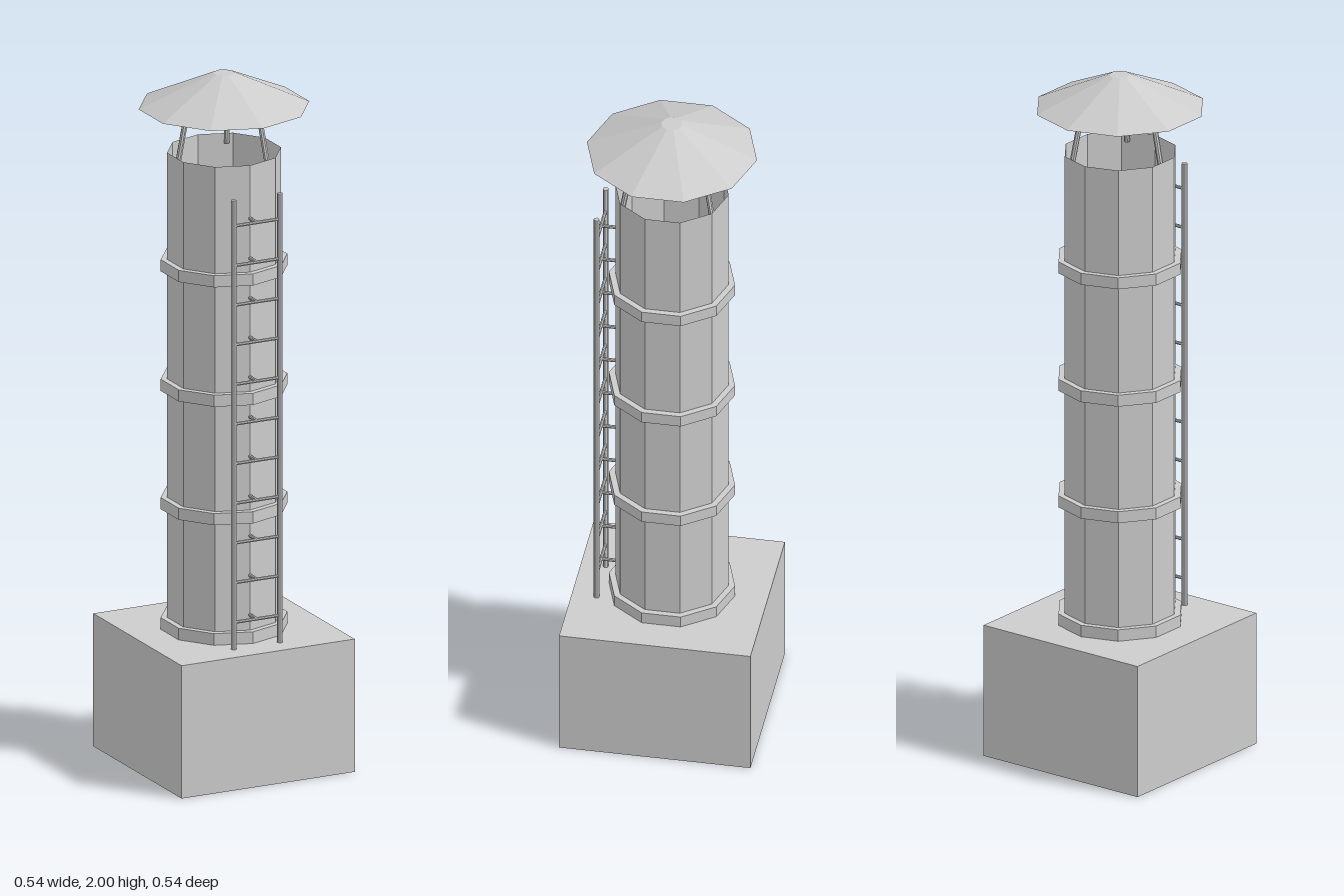
import * as THREE from 'three';

const SIDES = 10;

export function createModel() {
  const model = new THREE.Group();
  model.name = 'chimneyTower';
  const grey = new THREE.MeshStandardMaterial({ color: 0xcccccc });
  grey.name = 'grey';
  grey.flatShading = true;
  grey.side = THREE.DoubleSide;

  const add = (name, geometry, parent = model) => {
    const mesh = new THREE.Mesh(geometry, grey);
    mesh.name = name;
    parent.add(mesh);
    return mesh;
  };

  // Straight round bar between two points
  const bar = (name, from, to, radius, parent) => {
    const dir = new THREE.Vector3().subVectors(to, from);
    const mesh = add(name, new THREE.CylinderGeometry(radius, radius, dir.length(), 8), parent);
    mesh.position.copy(from).add(to).multiplyScalar(0.5);
    mesh.quaternion.setFromUnitVectors(new THREE.Vector3(0, 1, 0), dir.normalize());
    return mesh;
  };
  const v = (x, y, z) => new THREE.Vector3(x, y, z);

  // Square foundation block
  add('base', new THREE.BoxGeometry(0.54, 0.387, 0.54)).position.y = 0.1935;

  // Hollow ten-sided stack, open at the top
  add('stack', new THREE.CylinderGeometry(0.16, 0.16, 1.39, SIDES, 1, true)).position.y = 1.08;

  // Bands around the stack
  for (const y of [0.387, 0.737, 1.082, 1.43]) {
    const profile = [[0.159, 0], [0.178, 0], [0.178, 0.034], [0.159, 0.034]]
      .map(([r, h]) => new THREE.Vector2(r, h));
    add('band', new THREE.LatheGeometry(profile, SIDES)).position.y = y;
  }

  // Rain cap on three leaning posts
  add('cap', new THREE.CylinderGeometry(0.03, 0.24, 0.095, SIDES)).position.y = 1.9525;
  for (const deg of [60, 180, 300]) {
    const a = THREE.MathUtils.degToRad(deg);
    const c = Math.cos(a), s = Math.sin(a);
    bar('capPost', v(0.145 * c, 1.75, 0.145 * s), v(0.114 * c, 1.908, 0.114 * s), 0.008, model);
  }

  // Ladder with a wall bracket behind each rung
  const ladder = new THREE.Group();
  ladder.name = 'ladder';
  model.add(ladder);
  for (const x of [-0.072, 0.072]) {
    bar('rail', v(x, 0.387, 0.2), v(x, 1.695, 0.2), 0.008, ladder);
  }
  for (let i = 0; i < 11; i++) {
    const y = 0.465 + i * 0.1155;
    bar('rung', v(-0.072, y, 0.2), v(0.072, y, 0.2), 0.005, ladder);
    bar('bracket', v(0, y, 0.155), v(0, y, 0.2), 0.005, ladder);
  }
  return model;
}
